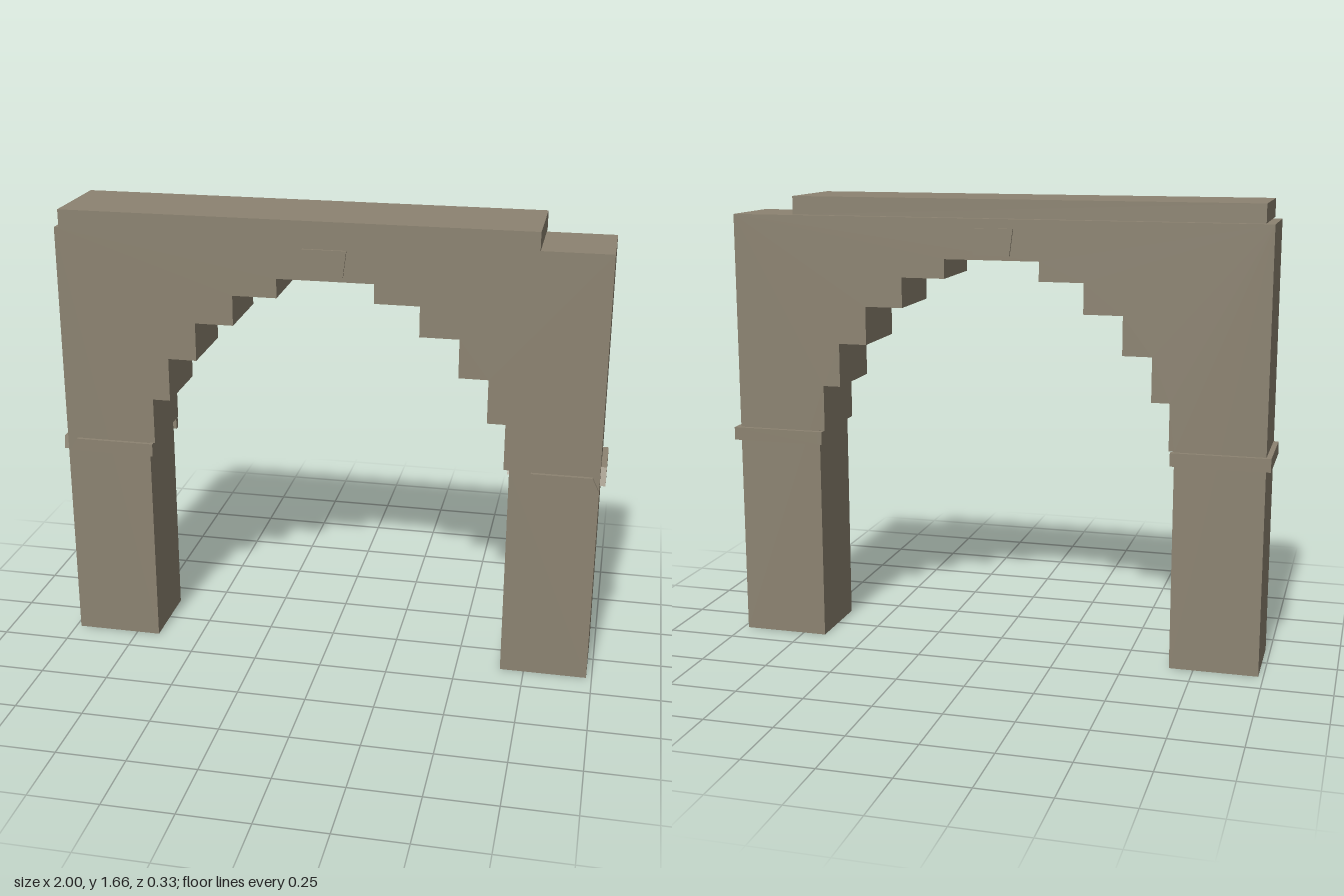
import * as THREE from 'three';

export function createModel() {
  const group = new THREE.Group();
  const stone = new THREE.MeshStandardMaterial({ color: 0x8c8371 });
  stone.name = 'weathered stone';

  const add = (name, geometry) => {
    const mesh = new THREE.Mesh(geometry, stone);
    mesh.name = name;
    group.add(mesh);
    return mesh;
  };
  // Flat outline given a thickness along z, starting at z0
  const plate = (points, z0, depth) => {
    const shape = new THREE.Shape(points.map(([x, y]) => new THREE.Vector2(x, y)));
    return new THREE.ExtrudeGeometry(shape, { depth, bevelEnabled: false }).translate(0, 0, z0);
  };

  // Piers and stepped arch as one outline: [half opening, top of the step]
  const steps = [[0.663, 0.8], [0.643, 0.97], [0.578, 1.13], [0.473, 1.27], [0.333, 1.38], [0.173, 1.45]];
  const opening = [];
  let y = 0;
  for (const [x, top] of steps) {
    opening.push([x, y], [x, top]);
    y = top;
  }
  const mirrored = opening.map(([x, v]) => [-x, v]);
  add('steppedArch', plate(
    [[-0.982, 0], ...mirrored, ...opening.slice().reverse(), [0.98, 0], [0.98, 1.595], [-0.982, 1.595]],
    -0.142, 0.285));

  // Offset capping slab, broken short at one end
  add('cappingSlab', new THREE.BoxGeometry(1.69, 0.066, 0.334)).position.set(-0.11, 1.632, 0);

  // Tapered keystones on both faces
  const key = [[-0.068, 1.467], [0.064, 1.467], [0.076, 1.562], [-0.08, 1.562]];
  add('frontKeystone', plate(key, 0.14, 0.011));
  add('backKeystone', plate(key, -0.15, 0.011));

  // Mouldings on the piers: trapezoids given as start and end, at bottom and top
  const lo = 0.75, hi = 0.798;
  const band = (name, b0, b1, t0, t1, z0, depth) =>
    add(name, plate([[b0, lo], [b1, lo], [t1, hi], [t0, hi]], z0, depth));
  band('rightFrontMoulding', -0.972, -0.655, -0.945, -0.65, 0.14, 0.016);
  band('leftFrontMoulding', 0.74, 0.978, 0.74, 0.955, 0.14, 0.016);
  band('rightBackMoulding', -1, -0.65, -1, -0.65, -0.158, 0.02);
  band('leftBackMoulding', 0.65, 1, 0.65, 1, -0.158, 0.02);

  // Side mouldings run along z, so turn them a quarter (local x becomes -z)
  const sideBand = (name, b0, b1, t0, t1, x0, depth) => {
    band(name, b0, b1, t0, t1, x0, depth).rotation.y = Math.PI / 2;
  };
  sideBand('leftOuterMoulding', -0.1, 0.158, -0.04, 0.158, 0.975, 0.025);
  sideBand('rightOuterMoulding', -0.14, 0.158, -0.13, 0.158, -1, 0.025);
  sideBand('leftInnerMoulding', -0.06, 0.158, -0.02, 0.158, 0.65, 0.018);
  sideBand('rightInnerMoulding', -0.156, 0.06, -0.156, 0.02, -0.668, 0.018);

  return group;
}
